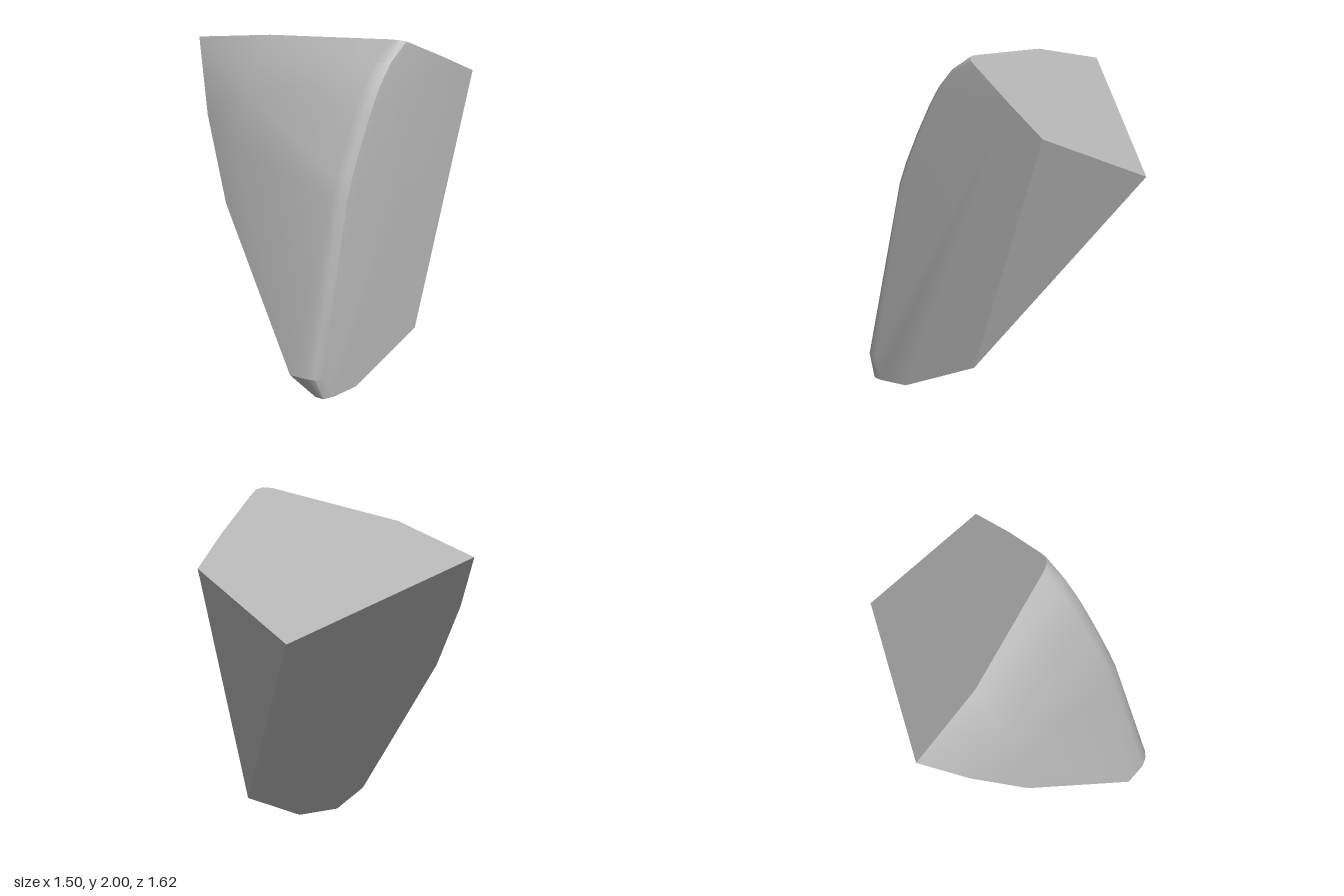
import * as THREE from 'three';
import { ConvexGeometry } from 'three/addons/geometries/ConvexGeometry.js';
import { toCreasedNormals } from 'three/addons/utils/BufferGeometryUtils.js';

const V = (x, y, z) => new THREE.Vector3(x, y, z);

export function createModel() {
  const group = new THREE.Group();
  group.name = 'shard';
  const stone = new THREE.MeshStandardMaterial({ color: 0xb4b4b4 });
  stone.name = 'stone grey';

  // Main corners
  const leftTip = V(-0.75, 1.71, 0);
  const backTip = V(0.07, 1.29, -0.81);
  const sideTip = V(0.745, 1.62, -0.52);
  const heel = V(0.65, 0.19, -0.01);

  // Flat cut faces, solved for one coordinate
  const topPlane = new THREE.Plane().setFromCoplanarPoints(leftTip, backTip, sideTip);
  const underPlane = new THREE.Plane().setFromCoplanarPoints(leftTip, backTip, heel);
  const onTop = (x, z) => {
    const n = topPlane.normal;
    return V(x, -(topPlane.constant + n.x * x + n.z * z) / n.y, z);
  };
  const onUnder = (x, y) => {
    const n = underPlane.normal;
    return V(x, y, -(underPlane.constant + n.x * x + n.y * y) / n.z);
  };
  const sideX = (y, z) => 0.65 - 0.01 * y - 0.204 * z;

  const points = [leftTip, backTip, sideTip, heel, onTop(0.698, -0.27)];

  // Outline of the sloping underside, from the left tip to the foot
  for (const [x, y] of [[-0.69, 1.6], [-0.56, 1.36], [-0.31, 0.95], [0.28, 0.125], [0.42, 0], [0.55, 0]]) {
    points.push(onUnder(x, y));
  }

  // Small foot
  points.push(V(0.475, 0, 0.75), V(0.51, 0, 0.69));

  // Left shoulder of the bowed front
  points.push(onTop(-0.24, 0.083), V(-0.265, 1.77, 0.175), V(-0.28, 1.58, 0.31), V(-0.3, 1.26, 0.415));

  // Rounded front edge: height and depth along it, then a small arc across it
  const ridge = [[0.13, 0.808], [1.17, 0.587], [1.3, 0.54], [1.48, 0.46], [1.66, 0.37], [1.78, 0.3], [1.9, 0.2], [2, 0.065]];
  const arc = [[-0.1, 0], [-0.05, -0.01], [-0.015, -0.035], [0, -0.08]];
  ridge.forEach(([y, z], i) => {
    for (const [dx, dz] of arc) {
      const x = sideX(y, z - 0.08) + dx;
      points.push(i === ridge.length - 1 ? onTop(x, z + dz) : V(x, y, z + dz));
    }
  });

  const shard = new THREE.Mesh(toCreasedNormals(new ConvexGeometry(points), 0.5), stone);
  shard.name = 'shardBody';
  group.add(shard);
  return group;
}
